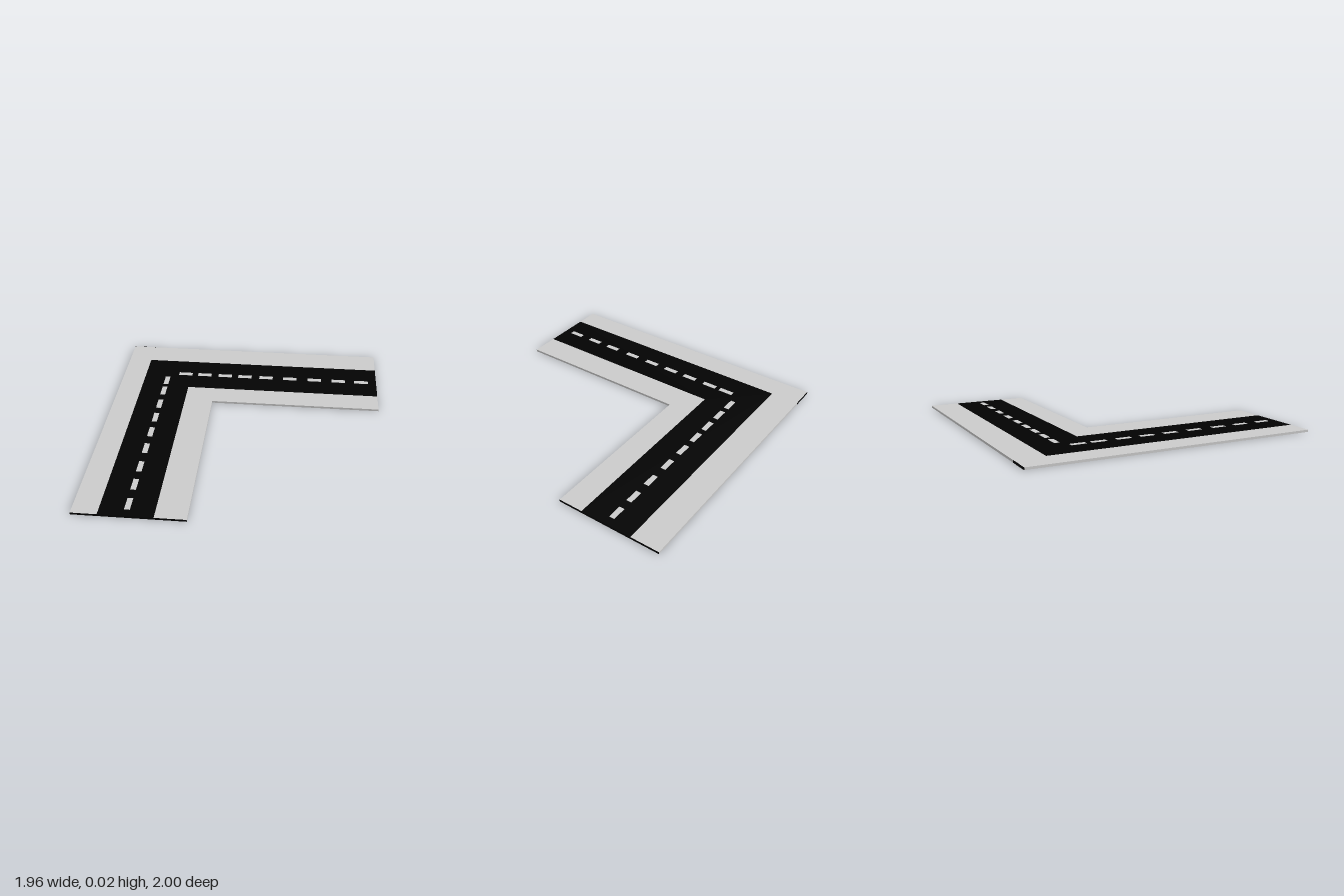
import * as THREE from 'three';

const H = 0.015; // slab thickness
const END_X = 0.98, END_Z = 1;

// Cross-section lines of the road, outer edge to inner edge: [x of one arm, z of the other, y]
const LINES = [
  [-0.98, -1.0, 0],
  [-0.98, -1.0, H],
  [-0.81, -0.80, H],
  [-0.455, -0.44, H],
  [-0.25, -0.27, H],
  [-0.25, -0.27, 0],
];

const grey = new THREE.MeshStandardMaterial({ color: 0xcccccc });
const black = new THREE.MeshStandardMaterial({ color: 0x020202 });

function quadMesh(name, quads, material) {
  const pos = [];
  for (const [a, b, c, d] of quads) pos.push(...a, ...b, ...c, ...a, ...c, ...d);
  const geo = new THREE.BufferGeometry();
  geo.setAttribute('position', new THREE.Float32BufferAttribute(pos, 3));
  geo.computeVertexNormals();
  const mesh = new THREE.Mesh(geo, material);
  mesh.name = name;
  return mesh;
}

// A line runs from the front end, round the mitred corner, to the left end
const run = ([x, z, y]) => [[x, y, END_Z], [x, y, z], [END_X, y, z]];

// Surface between two lines, following the bend
function strip(name, i, j, material) {
  const a = run(LINES[i]), b = run(LINES[j]);
  return quadMesh(name, [0, 1].map((k) => [a[k], b[k], b[k + 1], a[k + 1]]), material);
}

function box(name, w, h, d, x, y, z, material) {
  const mesh = new THREE.Mesh(new THREE.BoxGeometry(w, h, d), material);
  mesh.position.set(x, y, z);
  mesh.name = name;
  return mesh;
}

export function createModel() {
  const group = new THREE.Group();
  group.name = 'roadCorner';

  // Pavements with their kerb sides, and the roadway between them
  group.add(
    strip('outerKerbSide', 0, 1, grey),
    strip('outerPavement', 1, 2, grey),
    strip('roadway', 2, 3, black),
    strip('innerPavement', 3, 4, grey),
    strip('innerKerbSide', 4, 5, grey),
    strip('underside', 5, 0, black),
  );

  // Dark cut ends of both arms
  const [ob, ot, it, ib] = [0, 1, 4, 5].map((i) => run(LINES[i]));
  group.add(quadMesh('cutEnds', [
    [ob[0], ib[0], it[0], ot[0]],
    [ib[2], ob[2], ot[2], it[2]],
  ], black));

  // Dark end of the side pavement at the back corner
  group.add(box('cornerPavementEnd', 0.17, H, 0.002, -0.895, H / 2, -1, black));

  // Dashed centre line
  const dashes = new THREE.Group();
  dashes.name = 'centreLine';
  for (const x of [-0.5, -0.35, -0.19, -0.035, 0.13, 0.315, 0.505, 0.69, 0.865])
    dashes.add(box('dash', 0.105, 0.002, 0.037, x, H, -0.62, grey));
  for (const z of [-0.515, -0.375, -0.2, -0.03, 0.145, 0.33, 0.525, 0.705, 0.89])
    dashes.add(box('dash', 0.037, 0.002, 0.105, -0.633, H, z, grey));
  group.add(dashes);

  return group;
}
